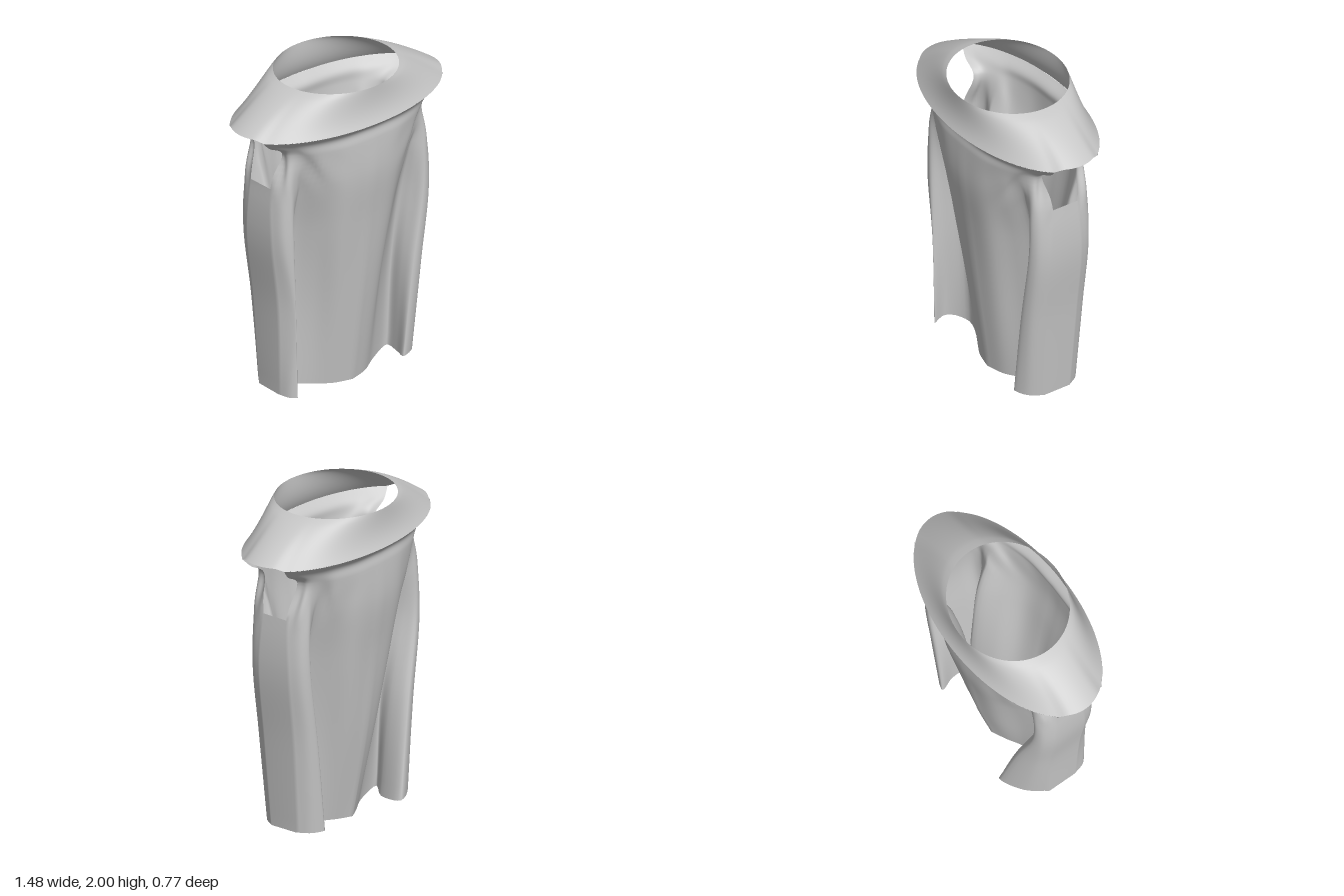
import * as THREE from 'three';

const cloth = new THREE.MeshStandardMaterial({ color: 0xc6c6c6, side: THREE.DoubleSide });
cloth.name = 'grey cloth';

// Heights of the cross-sections.
const heights = [0, .6, 1.1, 1.42, 1.65, 1.72, 1.78];

// Half panels, from the centre out to the dip beside the pleat: [x, z] pairs for each height.
const upperPanel = [
  [[0, .333], [.19, .312], [.32, .25], [.42, .17]],
  [[0, .333], [.2, .322], [.34, .285], [.43, .235]],
  [[0, .33], [.22, .318], [.38, .28], [.48, .235]],
  [[0, .386], [.24, .365], [.42, .318], [.52, .275]],
];
const frontPanel = [
  [[0, .147], [.12, .117], [.24, .05], [.38, .008]],
  [[0, .23], [.15, .195], [.26, .1], [.39, .035]],
  [[0, .29], [.18, .265], [.3, .17], [.41, .09]],
  ...upperPanel,
];
const backPanel = [
  [[0, .122], [.09, .08], [.2, .025], [.37, .006]],
  [[0, .23], [.14, .19], [.25, .09], [.38, .03]],
  [[0, .29], [.18, .265], [.3, .17], [.41, .09]],
  ...upperPanel,
];

// Pleats, from the dip around the corner to the edge of the side.
const upperPleat = [
  [[.455, .18], [.51, .195], [.55, .165], [.575, .085]],
  [[.47, .205], [.5, .175], [.515, .15], [.525, .125]],
  [[.54, .2], [.58, .175], [.605, .155], [.625, .135]],
  [[.59, .234], [.63, .202], [.66, .175], [.685, .155]],
];
// A pleat whose corner leans over the panel toward the hem.
const pleat = (hemX, hemZ, sideX) => [
  [[hemX + .03, .1], [hemX, hemZ], [hemX * .4 + sideX * .6, hemZ * .5 + .07], [sideX, .09]],
  [[hemX * .5 + .225, .12], [hemX * .5 + .245, .1 + hemZ / 2], [.49, .185], [.542, .1]],
  [[.455, .14], [.495, .2], [.555, .18], [.592, .1]],
  ...upperPleat,
];
const quarters = [
  { panel: frontPanel, pleat: pleat(.345, .2, .49), sx: 1, sz: 1 },
  { panel: backPanel, pleat: pleat(.36, .2, .49), sx: 1, sz: -1 },
  { panel: backPanel, pleat: pleat(.265, .272, .51), sx: -1, sz: -1 },
  { panel: frontPanel, pleat: pleat(.46, .195, .515), sx: -1, sz: 1 },
];

const SUB = 5, STEPS = 7, QUARTER = 7 * SUB + 1;

// Points of one quarter at one level, from the centre of its panel to its side.
function quarterPoints(q, level) {
  const points = [...q.panel[level], ...q.pleat[level]]
    .map(([x, z]) => new THREE.Vector3(x * q.sx, heights[level], z * q.sz));
  return new THREE.CatmullRomCurve3(points).getPoints(QUARTER - 1);
}

// Indexed surface over closed rows of points, each cell kept when keep(row, column) is true.
function surface(rows, keep = () => true) {
  const n = rows[0].length, index = [];
  for (let r = 0; r < rows.length - 1; r++) {
    for (let c = 0; c < n; c++) {
      if (!keep(r, c)) continue;
      const a = r * n + c, b = r * n + (c + 1) % n;
      index.push(a, b, b + n, a, b + n, a + n);
    }
  }
  const geo = new THREE.BufferGeometry().setFromPoints(rows.flat());
  geo.setIndex(index);
  geo.computeVertexNormals();
  return geo;
}

// Draped body: two panels joined by the sides, open above the sides as armholes.
function drapedBody() {
  const levels = heights.map((_, i) => {
    const [a, b, c, d] = quarters.map(q => quarterPoints(q, i));
    return [...a, ...b.reverse(), ...c.slice(1), ...d.reverse().slice(0, -1)];
  });
  const columns = levels[0].map((_, c) => new THREE.CatmullRomCurve3(levels.map(l => l[c])));
  const rows = [];
  const count = (levels.length - 1) * STEPS;
  for (let r = 0; r <= count; r++) {
    rows.push(columns.map(curve => {
      const v = curve.getPoint(r / count);
      // hem rises toward the sides and pleats
      const side = Math.min(1, (Math.abs(v.x) + Math.max(0, Math.abs(v.z) - .1)) / .46);
      v.y += .055 * side * side * Math.max(0, 1 - v.y);
      // small gathers beside the armholes
      const gather = Math.max(0, 1 - Math.abs(v.y - 1.55) / .2) * Math.max(0, side - .6);
      v.x += Math.sign(v.x) * .03 * gather * Math.sin(v.z * 70 + v.y * 9);
      return v;
    }));
  }
  const bridges = [QUARTER - 1, QUARTER * 3 - 2];
  return surface(rows, (r, c) => r < 3 * STEPS || !bridges.includes(c));
}

// Collar: a round neck opening flaring into a wide oval rim, raised a little over the armholes.
function collar() {
  const rows = [], N = 128, R = 14;
  for (let r = 0; r <= R; r++) {
    const t = 1 - r / R, row = [];
    for (let c = 0; c < N; c++) {
      const a = c / N * Math.PI * 2, s = Math.sin(a), k = Math.cos(a);
      const rx = .38 + .36 * Math.pow(t, .8);
      const rz = .345 + .042 * Math.pow(t, 3);
      const drop = .222 - .02 * THREE.MathUtils.smoothstep(Math.abs(s), .91, .97);
      row.push(new THREE.Vector3(rx * s, 2 - t * drop, rz * k));
    }
    rows.push(row);
  }
  return surface(rows);
}

export function createModel() {
  const group = new THREE.Group();
  group.name = 'cloak';
  for (const [name, geo] of [['drapedBody', drapedBody()], ['collar', collar()]]) {
    const mesh = new THREE.Mesh(geo, cloth);
    mesh.name = name;
    group.add(mesh);
  }
  return group;
}
